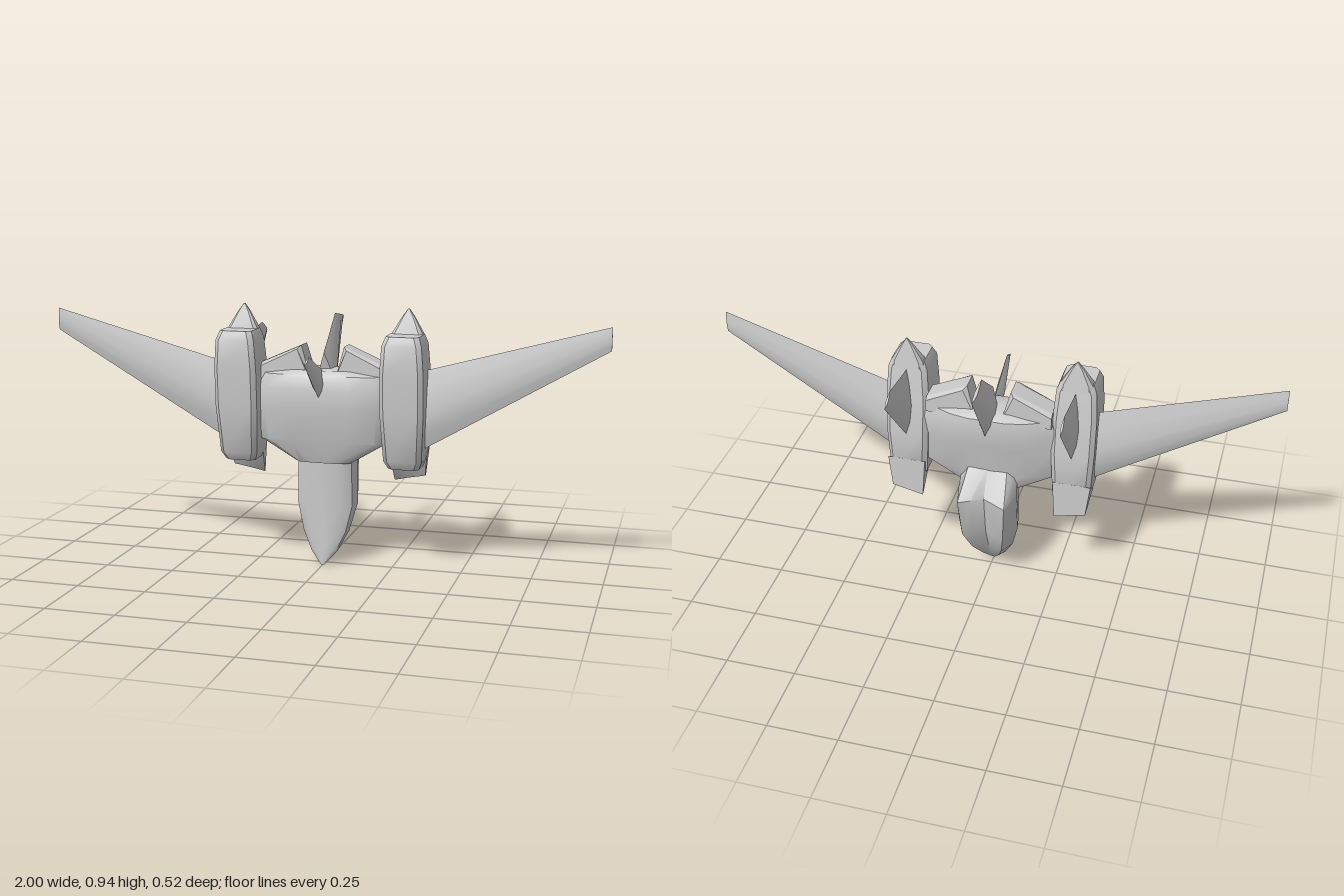
import * as THREE from 'three';
import { toCreasedNormals } from 'three/addons/utils/BufferGeometryUtils.js';

const material = new THREE.MeshStandardMaterial({ color: 0xcccccc, side: THREE.DoubleSide });

// Skin a list of equal-length rings of [x, y, z] points and cap both ends.
function loft(name, rings, crease = 0.6) {
  const n = rings[0].length;
  const tris = [];
  const centre = (r) => [0, 1, 2].map((k) => r.reduce((a, p) => a + p[k], 0) / n);
  for (let i = 0; i < rings.length - 1; i++) {
    for (let j = 0; j < n; j++) {
      const k = (j + 1) % n;
      const [a, b, c, d] = [rings[i][j], rings[i][k], rings[i + 1][k], rings[i + 1][j]];
      tris.push([a, b, c], [a, c, d]);
    }
  }
  const first = rings[0], last = rings[rings.length - 1];
  for (let j = 0; j < n; j++) {
    const k = (j + 1) % n;
    tris.push([centre(first), first[k], first[j]], [centre(last), last[j], last[k]]);
  }
  // Turn every face outward using the sign of the enclosed volume.
  const v = tris.map((t) => t.map((p) => new THREE.Vector3(...p)));
  const volume = v.reduce((s, [a, b, c]) => s + a.dot(b.clone().cross(c)), 0);
  if (volume < 0) v.forEach((t) => t.reverse());
  const solid = v.filter(([a, b, c]) => b.clone().sub(a).cross(c.clone().sub(a)).length() > 1e-9);
  const geometry = new THREE.BufferGeometry().setFromPoints(solid.flat());
  const mesh = new THREE.Mesh(toCreasedNormals(geometry, crease), material);
  mesh.name = name;
  return mesh;
}

// Full ring from right-half [x, z] points running from belly centre to back centre.
function mirrorRing(y, half) {
  const other = half.slice(1, -1).reverse().map(([x, z]) => [-x, z]);
  return [...half, ...other].map(([x, z]) => [x, y, z]);
}

// Bevelled rectangle in the x-z plane.
function boxRing(cx, y, halfWidth, front, back, bevel) {
  const b = bevel, w = halfWidth;
  return [
    [w - b, front], [w, front - b], [w, back + b], [w - b, back],
    [b - w, back], [-w, back + b], [-w, front - b], [b - w, front],
  ].map(([x, z]) => [cx + x, y, z]);
}

// Aerofoil between a leading and a trailing point, thickened along one axis.
function foil(lead, trail, thickness, axis) {
  const stations = [[0, 0], [0.2, 0.75], [0.45, 1], [0.75, 0.6], [1, 0], [0.75, -0.6], [0.45, -1], [0.2, -0.75]];
  return stations.map(([t, h]) => lead.map((a, k) => a + (trail[k] - a) * t + (k === axis ? h * thickness : 0)));
}

export function createModel() {
  const group = new THREE.Group();

  // Cockpit nose, pointing down, with two ridges along its back
  const nose = [
    // y, half width, belly z, ridge x, ridge z, valley z
    [0, 0.006, 0.04, 0.004, 0.034, 0.034],
    [0.05, 0.05, 0.038, 0.03, -0.012, -0.004],
    [0.12, 0.085, 0.036, 0.055, -0.07, -0.045],
    [0.22, 0.11, 0.035, 0.075, -0.13, -0.085],
    [0.38, 0.107, 0.04, 0.085, -0.155, -0.11],
    [0.48, 0.1, 0.04, 0.07, -0.05, -0.05],
  ];
  group.add(loft('cockpitNose', nose.map(([y, w, f, rx, rz, vz]) => mirrorRing(y, [
    [0, f], [w * 0.6, f - w * 0.08], [w * 0.92, f - w * 0.3], [w, f + (rz - f) * 0.5], [rx, rz], [rx * 0.5, (rz + vz) / 2], [0, vz],
  ])), 0.7));

  // Broad central hull
  const hull = [
    // y, half width, front z, back z
    [0.38, 0.1, 0.045, -0.04],
    [0.46, 0.23, 0.07, -0.055],
    [0.58, 0.24, 0.09, -0.075],
    [0.65, 0.24, 0.092, -0.09],
    [0.7, 0.22, 0.08, -0.085],
    [0.715, 0.12, 0.06, -0.065],
  ];
  group.add(loft('hull', hull.map(([y, w, f, b]) => mirrorRing(y, [
    [0, f], [w * 0.45, f], [w * 0.85, f * 0.85], [w, f * 0.5], [w, b * 0.4], [w * 0.6, b * 0.85], [w * 0.3, b], [0, b],
  ])), 0.7));

  // Centre tail fin and belly fin
  group.add(loft('centreTailFin', [
    foil([0, 0.56, -0.04], [0, 0.775, 0.02], 0.03, 0),
    foil([0, 0.64, -0.09], [0, 0.815, -0.03], 0.028, 0),
    foil([0, 0.875, -0.252], [0, 0.897, -0.13], 0.006, 0),
  ]));
  group.add(loft('bellyFin', [
    foil([0, 0.61, 0.07], [0, 0.72, 0.05], 0.016, 0),
    foil([0, 0.65, 0.125], [0, 0.75, 0.125], 0.016, 0),
    foil([0, 0.765, 0.262], [0, 0.787, 0.21], 0.004, 0),
  ]));

  for (const s of [1, -1]) {
    const side = s > 0 ? 'left' : 'right';
    const cx = 0.3 * s;

    // Swept wing
    group.add(loft(side + 'Wing', [
      foil([0.3 * s, 0.41, 0.025], [0.3 * s, 0.715, 0.02], 0.032, 2),
      foil([0.375 * s, 0.455, 0.027], [0.375 * s, 0.73, 0.025], 0.029, 2),
      foil([1 * s, 0.825, 0.055], [1 * s, 0.905, 0.055], 0.004, 2),
    ]));

    // Engine nacelle
    const nacelle = [
      // y, half width, front z, back z
      [0.38, 0.055, 0.075, -0.03],
      [0.41, 0.068, 0.095, -0.05],
      [0.58, 0.077, 0.12, -0.052],
      [0.72, 0.077, 0.128, -0.035],
      [0.82, 0.07, 0.13, -0.022],
      [0.852, 0.058, 0.115, -0.015],
    ];
    group.add(loft(side + 'Nacelle', nacelle.map(([y, w, f, b]) => boxRing(cx, y, w, f, b, 0.016))));

    // Pointed tail cone on the nacelle
    group.add(loft(side + 'TailCone', [
      boxRing(cx, 0.8, 0.062, 0.045, -0.024, 0.012),
      boxRing(cx, 0.85, 0.056, 0.035, -0.018, 0.012),
      boxRing(cx, 0.91, 0.022, 0.01, -0.01, 0.005),
      boxRing(cx, 0.937, 0.003, 0, -0.006, 0.001),
    ]));

    // Intake lip hanging below the nacelle
    group.add(loft(side + 'IntakeLip', [
      [[0.235 * s, 0.42, 0.005], [0.372 * s, 0.42, 0.005], [0.372 * s, 0.46, -0.053], [0.235 * s, 0.46, -0.053]],
      [[0.245 * s, 0.315, -0.05], [0.358 * s, 0.338, -0.04], [0.358 * s, 0.338, -0.055], [0.245 * s, 0.312, -0.055]],
    ]));

    // Nacelle tail fin
    group.add(loft(side + 'TailFin', [
      foil([cx, 0.55, -0.03], [cx, 0.82, 0], 0.02, 0),
      foil([cx, 0.6, -0.08], [cx, 0.823, -0.04], 0.018, 0),
      foil([cx, 0.808, -0.26], [cx, 0.845, -0.2], 0.004, 0),
    ]));

    // Slanted exhaust between hull and nacelle
    const exhaust = (z0, inset) => [[0.045, 0.68], [0.078 + inset, 0.8 - inset], [0.225, 0.735 - inset], [0.225, 0.68]]
      .map(([x, y]) => [x * s, y, z0]);
    group.add(loft(side + 'Exhaust', [
      exhaust(-0.05, 0.012), exhaust(-0.035, 0), exhaust(0.035, 0), exhaust(0.05, 0.012),
    ], 0.3));
  }

  return group;
}
